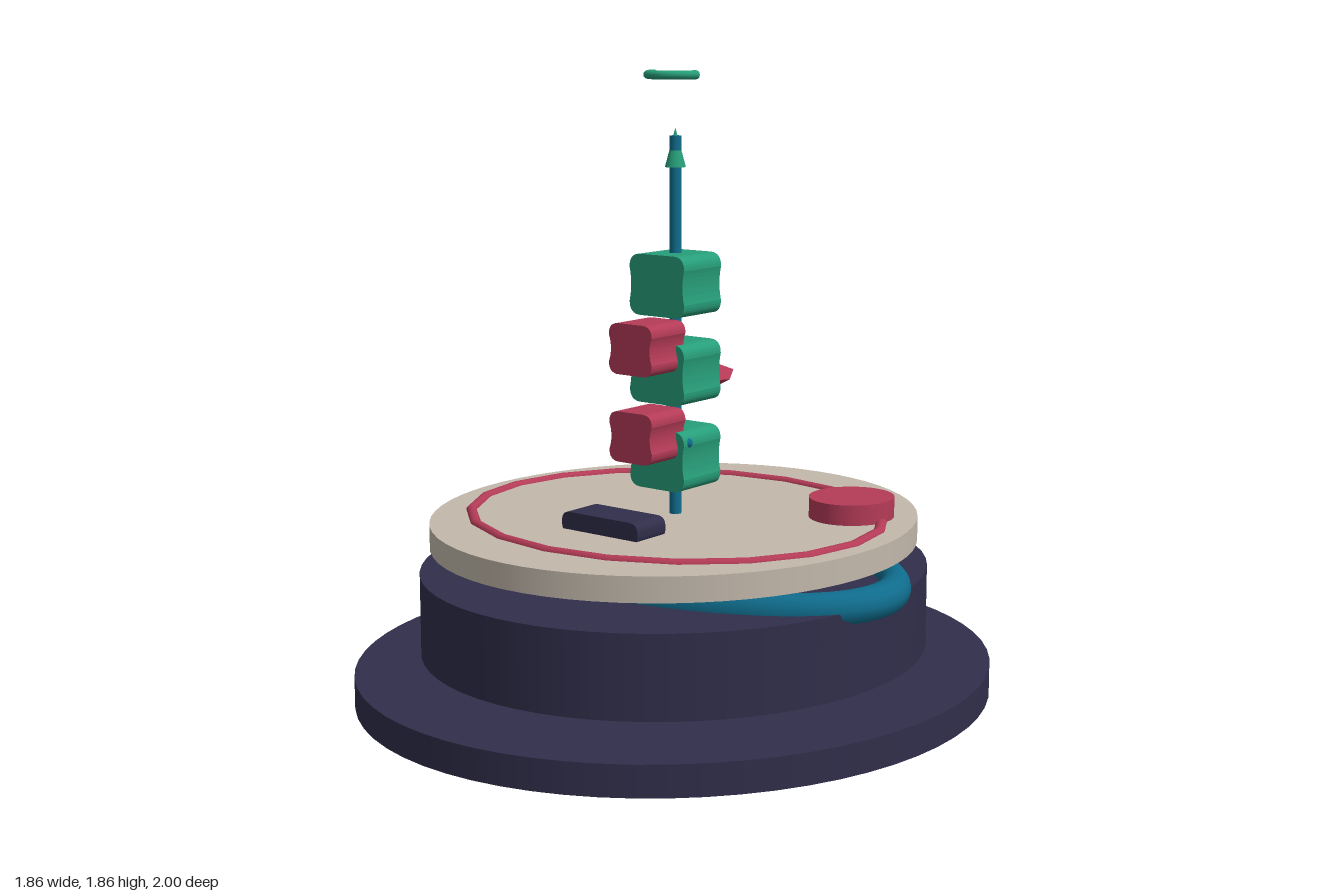
import * as THREE from 'three';

export function createModel() {
  const model = new THREE.Group();
  const paint = (name, color) => {
    const m = new THREE.MeshStandardMaterial({ color });
    m.name = name;
    return m;
  };
  const navy = paint('navy', 0x302e4a);
  const teal = paint('teal', 0x0f6c8c);
  const green = paint('green', 0x279e79);
  const red = paint('red', 0xb43b57);
  const stone = paint('stone', 0xc2b8ab);

  const add = (name, geometry, material, x = 0, y = 0, z = 0) => {
    const mesh = new THREE.Mesh(geometry, material);
    mesh.name = name;
    mesh.position.set(x, y, z);
    model.add(mesh);
    return mesh;
  };

  // Oval disc between two heights, slightly narrower in x than in z
  const disc = (name, material, rx, rz, y0, y1, x = 0, z = 0) => {
    const g = new THREE.CylinderGeometry(1, 1, y1 - y0, 64);
    g.scale(rx, 1, rz);
    return add(name, g, material, x, (y0 + y1) / 2, z);
  };

  // Flat ring given by its outer half sizes
  const ring = (name, material, outerX, outerZ, tube, y, sides, arc = Math.PI * 2) => {
    const g = new THREE.TorusGeometry(outerX - tube, tube, 12, sides, arc);
    g.rotateX(Math.PI / 2);
    g.scale(1, 1, outerZ / outerX);
    return add(name, g, material, 0, y, 0);
  };

  // Block with rounded corners in front view and slightly pinched sides
  const block = (name, material, w, h, d, r, pinch, y, z = 0) => {
    const a = w / 2, b = h / 2;
    const s = new THREE.Shape();
    s.moveTo(-a + r, -b);
    s.lineTo(a - r, -b);
    s.quadraticCurveTo(a, -b, a, -b + r);
    s.quadraticCurveTo(a - pinch, 0, a, b - r);
    s.quadraticCurveTo(a, b, a - r, b);
    s.lineTo(-a + r, b);
    s.quadraticCurveTo(-a, b, -a, b - r);
    s.quadraticCurveTo(-a + pinch, 0, -a, -b + r);
    s.quadraticCurveTo(-a, -b, -a + r, -b);
    const g = new THREE.ExtrudeGeometry(s, { depth: d, bevelEnabled: false, curveSegments: 8 });
    g.translate(0, 0, -d / 2);
    return add(name, g, material, 0, y, z);
  };

  // Stacked base
  disc('basePlate', navy, 0.93, 1, 0, 0.092);
  disc('drum', navy, 0.74, 0.796, 0.14, 0.385);
  ring('ovalCollar', teal, 0.785, 0.462, 0.05, 0.39, 64);
  disc('deck', stone, 0.71, 0.763, 0.46, 0.534);

  // Deck details
  ring('deckRing', red, 0.66, 0.597, 0.018, 0.529, 20);
  disc('deckButton', red, 0.125, 0.133, 0.53, 0.595, 0.437, -0.297);
  block('deckSlab', navy, 0.284, 0.065, 0.128, 0.03, 0, 0.554, 0.291);

  // Mast with pointed cap and half ring floating above
  add('mast', new THREE.CylinderGeometry(0.018, 0.018, 1.13, 16), teal, 0, 1.1, 0);
  add('mastCap', new THREE.ConeGeometry(0.031, 0.115, 16), green, 0, 1.631, 0);
  ring('halfRing', green, 0.09, 0.099, 0.013, 1.842, 16, Math.PI);

  // Blocks threaded on the mast
  for (const y of [0.713, 0.971, 1.231]) block('mastBlock', green, 0.204, 0.181, 0.178, 0.04, 0.012, y);
  for (const y of [0.796, 1.056]) block('frontBlock', red, 0.16, 0.15, 0.158, 0.035, 0.016, y, 0.133);

  // Pointed spike at the back
  const spike = new THREE.OctahedronGeometry(1);
  spike.scale(0.105, 0.055, 0.16);
  add('backSpike', spike, red, 0, 0.936, -0.13);

  // Small beads around the blocks
  for (const [x, y, z] of [[-0.085, 0.83, -0.077], [0.092, 0.77, 0.06], [-0.087, 0.895, -0.03]]) {
    add('bead', new THREE.SphereGeometry(0.016, 16, 12), teal, x, y, z);
  }

  return model;
}
